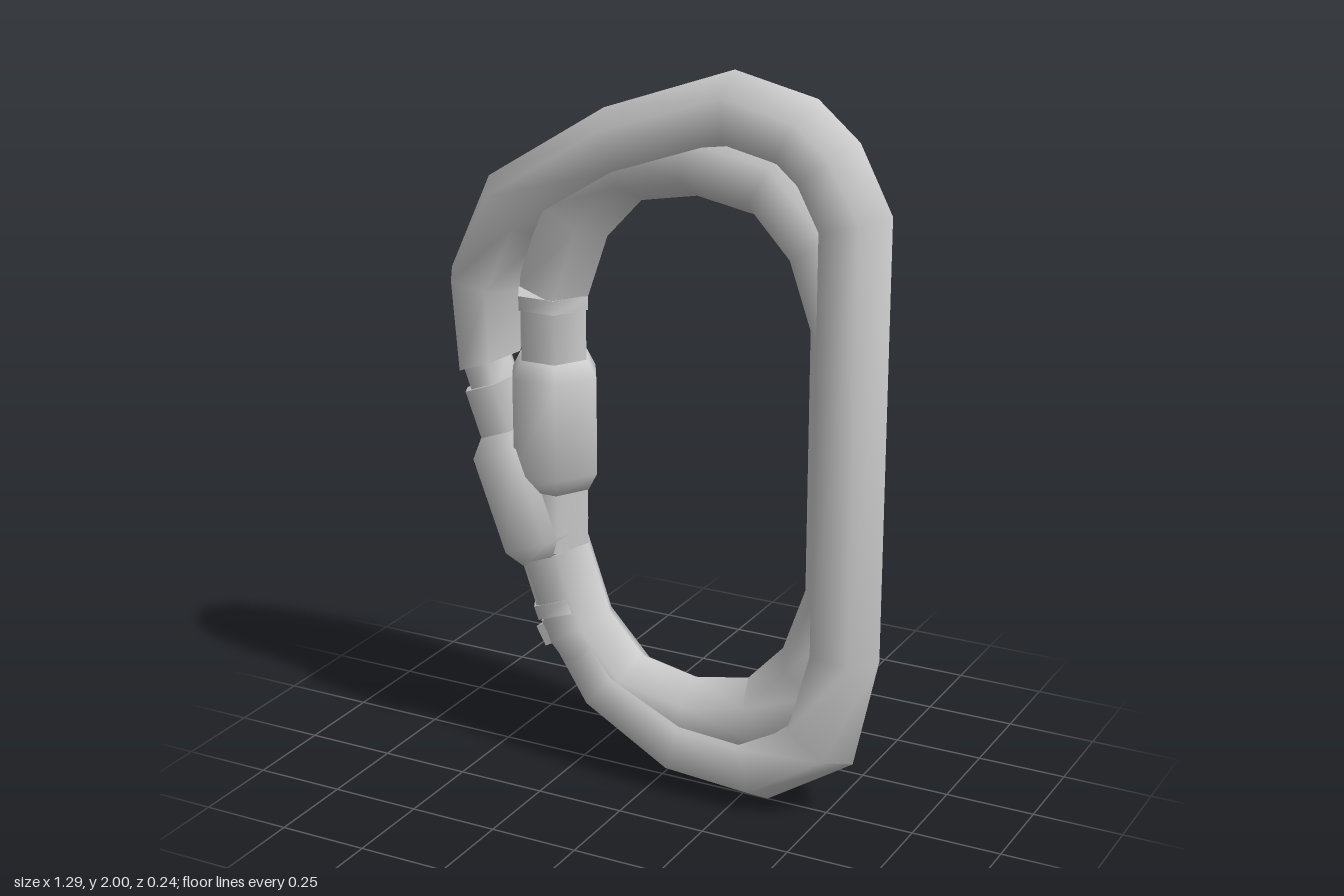
import * as THREE from 'three';
import { toCreasedNormals } from 'three/addons/utils/BufferGeometryUtils.js';

const SIDES = 6;
const material = new THREE.MeshStandardMaterial({ color: 0xcccccc });

// Hexagonal bar swept along points [x, y, radius] in the z = 0 plane, mitred at each bend.
// endDir optionally tilts both end caps.
function sweep(path, endDir) {
  const pts = path.map(([x, y]) => new THREE.Vector2(x, y));
  const pos = [], index = [], last = pts.length - 1;
  pts.forEach((p, i) => {
    const tin = pts[Math.max(i, 1)].clone().sub(pts[Math.max(i, 1) - 1]).normalize();
    const next = Math.min(i, last - 1);
    const tout = pts[next + 1].clone().sub(pts[next]).normalize();
    let t = tin.clone().add(tout).normalize();
    const mitre = 1 / t.dot(tin);
    if (endDir && (i === 0 || i === last)) t = endDir;
    const r = path[i][2];
    for (let j = 0; j < SIDES; j++) {
      const a = (j / SIDES) * Math.PI * 2;
      const k = Math.cos(a) * r * mitre;
      pos.push(p.x - t.y * k, p.y + t.x * k, Math.sin(a) * r);
    }
  });
  const at = (i, j) => i * SIDES + (j % SIDES);
  for (let i = 0; i < last; i++) {
    for (let j = 0; j < SIDES; j++) {
      index.push(at(i, j), at(i, j + 1), at(i + 1, j + 1));
      index.push(at(i, j), at(i + 1, j + 1), at(i + 1, j));
    }
  }
  for (let j = 1; j < SIDES - 1; j++) {
    index.push(at(0, 0), at(0, j + 1), at(0, j));
    index.push(at(last, 0), at(last, j), at(last, j + 1));
  }
  const g = new THREE.BufferGeometry();
  g.setAttribute('position', new THREE.Float32BufferAttribute(pos, 3));
  g.setIndex(index);
  return toCreasedNormals(g, 1.2);
}

function part(name, path, endDir) {
  const mesh = new THREE.Mesh(sweep(path, endDir), material);
  mesh.name = name;
  return mesh;
}

// Straight part along an axis, from stations [distance, radius]
function straight(name, origin, dir, stations) {
  return part(name, stations.map(([s, r]) => [origin.x + dir.x * s, origin.y + dir.y * s, r]));
}

function ovalClip() {
  const clip = new THREE.Group();
  clip.name = 'ovalClip';
  const cx = 0.1, r = 0.105;

  // Bent ends, mirrored about the centre line and joined by the spine
  const top = [[0.43, 1.37], [0.355, 1.585], [0.215, 1.735]];
  const bottom = [[0.215, 0.255 + 0.0], [0.355, 0.405], [0.43, 0.62]];
  bottom[0][1] = 0.255;
  const path = [
    ...top.map(([x, y]) => [cx - x, y, r]),
    [cx, 1.775, r],
    ...top.slice().reverse().map(([x, y]) => [cx + x, y, r]),
    ...bottom.slice().reverse().map(([x, y]) => [cx + x, y, r]),
    [cx, 0.213, r],
    ...bottom.map(([x, y]) => [cx - x, y, r]),
  ];
  clip.add(part('ovalBody', path, undefined));

  // Upright gate with its locking sleeve and hinge collar
  const origin = new THREE.Vector2(cx - 0.43, 0.62), up = new THREE.Vector2(0, 1);
  clip.add(straight('ovalGate', origin, up, [[0.02, 0.1], [0.72, 0.1]]));
  clip.add(straight('ovalGateCollar', origin, up, [[0.7, 0.107], [0.74, 0.107]]));
  clip.add(straight('ovalGateSleeve', origin, up,
    [[0.19, 0.103], [0.24, 0.13], [0.51, 0.13], [0.56, 0.103]]));
  return clip;
}

function wideClip() {
  const clip = new THREE.Group();
  clip.name = 'wideClip';
  const r = 0.106;
  const origin = new THREE.Vector2(-0.29, 0.465);
  const dir = new THREE.Vector2(-0.235, 0.63).normalize();

  // Body from the nose, over the top, down the spine and round to the hinge
  clip.add(part('wideBody', [
    [-0.53, 1.14, 0.1], [-0.54, 1.365, r], [-0.44, 1.58, r], [-0.125, 1.775, r],
    [0.21, 1.893, r], [0.385, 1.853, r], [0.465, 1.785, r], [0.535, 1.65, r],
    [0.535, 0.49, r], [0.475, 0.235, 0.112], [0.295, 0.125, 0.12],
    [0.08, 0.14, 0.12], [-0.15, 0.26, 0.11], [-0.285, 0.45, 0.1],
  ], dir));

  // Slanted gate with hinge collar, locking sleeve and latch pin
  clip.add(straight('wideGate', origin, dir, [[0.02, 0.1], [0.3, 0.094], [0.655, 0.094]]));
  clip.add(straight('wideGateCollar', origin, dir, [[-0.01, 0.108], [0.03, 0.108]]));
  clip.add(straight('wideGateSleeve', origin, dir,
    [[0.145, 0.097], [0.2, 0.137], [0.475, 0.137], [0.52, 0.095]]));
  clip.add(straight('latchPin', origin, dir, [[0.62, 0.075], [0.74, 0.075]]));

  // Hinge lug below the collar
  const lug = new THREE.Mesh(new THREE.BoxGeometry(0.07, 0.06, 0.1), material);
  lug.name = 'hingeLug';
  lug.position.set(-0.325, 0.385, 0);
  lug.rotation.z = 0.5;
  clip.add(lug);
  return clip;
}

export function createModel() {
  const model = new THREE.Group();
  model.name = 'pairOfClips';
  const oval = ovalClip();
  model.add(oval, wideClip());
  return model;
}
